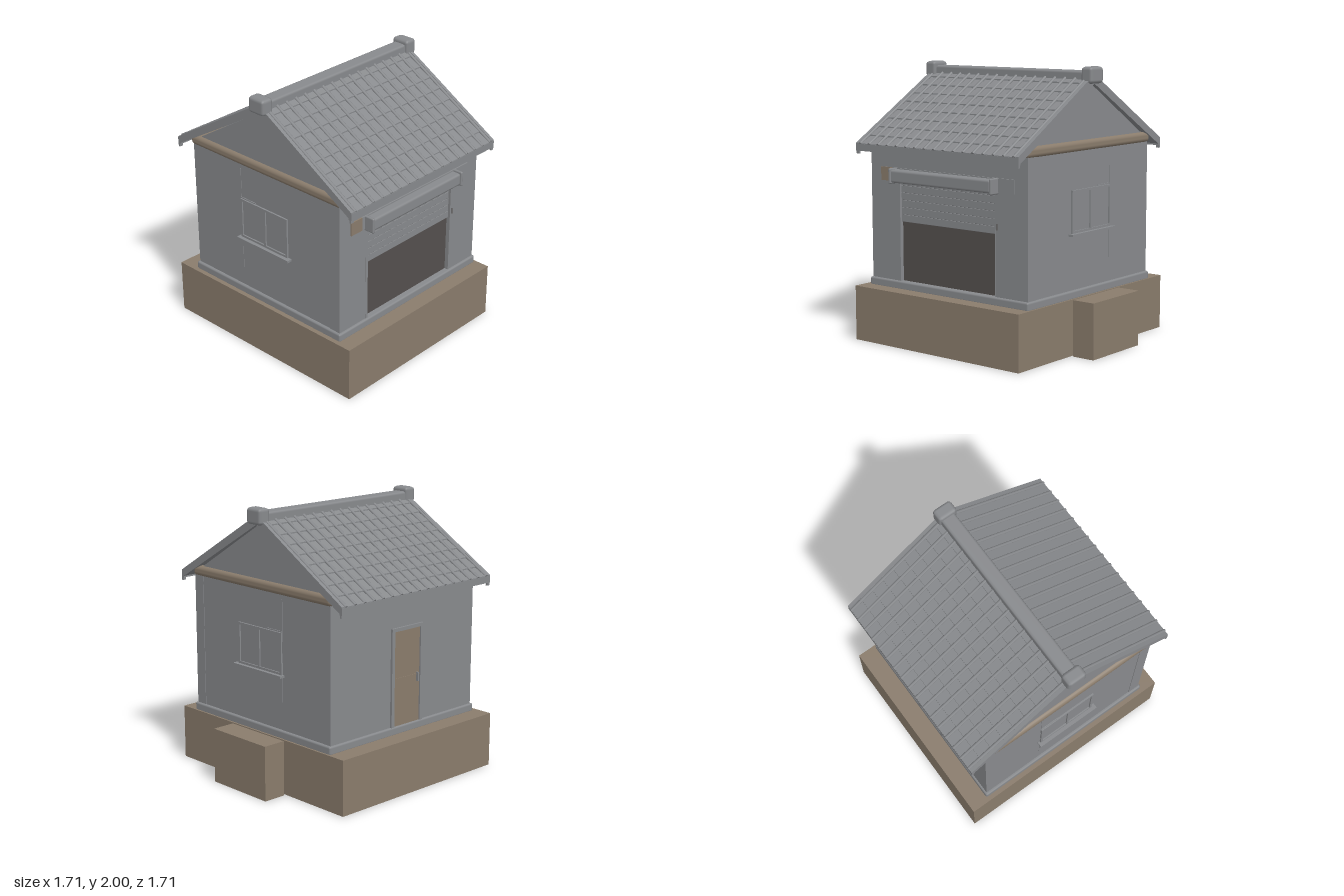
import * as THREE from 'three';
import { RoundedBoxGeometry } from 'three/addons/geometries/RoundedBoxGeometry.js';

const mat = (name, color) => {
  const m = new THREE.MeshStandardMaterial({ color });
  m.name = name;
  return m;
};

export function createModel() {
  const model = new THREE.Group();
  model.name = 'storehouse';
  const grey = mat('greyPlaster', 0x888a8d);
  const brown = mat('brownEarth', 0x8a7c6c);
  const dark = mat('darkOpening', 0x55504e);

  const add = (name, geo, material, parent = model) => {
    const mesh = new THREE.Mesh(geo, material);
    mesh.name = name;
    parent.add(mesh);
    return mesh;
  };
  const group = (name) => {
    const g = new THREE.Group();
    g.name = name;
    model.add(g);
    return g;
  };
  // Boxes are given by their limits on each axis
  const box = (name, x0, x1, y0, y1, z0, z1, material = grey, parent = model) =>
    add(name, new THREE.BoxGeometry(x1 - x0, y1 - y0, z1 - z0)
      .translate((x0 + x1) / 2, (y0 + y1) / 2, (z0 + z1) / 2), material, parent);
  const softBox = (name, x0, x1, y0, y1, z0, z1, r, material = grey, parent = model, seg = 1) =>
    add(name, new RoundedBoxGeometry(x1 - x0, y1 - y0, z1 - z0, seg, r)
      .translate((x0 + x1) / 2, (y0 + y1) / 2, (z0 + z1) / 2), material, parent);
  // Extrude a (z, y) outline along x
  const extrudeX = (name, points, x0, x1, material, parent = model) => {
    const shape = new THREE.Shape(points.map(([z, y]) => new THREE.Vector2(z, y)));
    const geo = new THREE.ExtrudeGeometry(shape, { depth: x1 - x0, bevelEnabled: false });
    return add(name, geo.rotateY(-Math.PI / 2).translate(x1, 0, 0), material, parent);
  };

  // Ground block, side step and plinth
  box('groundBlock', -0.853, 0.665, 0, 0.4, -0.855, 0.855, brown);
  box('sideStep', 0.68, 0.855, 0, 0.4, -0.28, 0.27, brown);
  softBox('plinth', -0.82, 0.652, 0.39, 0.455, -0.715, 0.737, 0.014);

  // Walls: solid rear body and a front wall with the shutter opening
  const L = -0.8, R = 0.633;
  box('wallBody', L, R, 0.42, 1.46, -0.7, 0.63);
  const front = new THREE.Shape([[L - 0.004, 0.42], [R + 0.004, 0.42], [R + 0.004, 1.46], [L - 0.004, 1.46]]
    .map((p) => new THREE.Vector2(...p)));
  front.holes.push(new THREE.Path([[-0.545, 0.455], [-0.545, 1.2], [0.355, 1.2], [0.355, 0.455]]
    .map((p) => new THREE.Vector2(...p))));
  add('frontWall', new THREE.ExtrudeGeometry(front, { depth: 0.09, bevelEnabled: false })
    .translate(0, 0, 0.63), grey);

  // Front shutter, its guide rail, housing and lintel
  const shutter = group('shutter');
  box('opening', -0.545, 0.355, 0.455, 0.9, 0.685, 0.692, dark, shutter);
  const slats = 6, slatH = (1.2 - 0.885) / slats;
  for (let i = 0; i < slats; i++) {
    const y = 0.885 + i * slatH;
    softBox('slat', -0.545, 0.355, y, y + slatH, 0.682, 0.704, 0.003, grey, shutter);
  }
  box('leftGuide', -0.545, -0.525, 0.455, 1.2, 0.68, 0.722, grey, shutter);
  box('rightGuide', 0.353, 0.36, 0.455, 1.2, 0.68, 0.722, grey, shutter);
  softBox('housing', -0.56, 0.372, 1.172, 1.265, 0.715, 0.795, 0.018, grey, shutter);
  for (const x of [-0.565, 0.365])
    softBox('housingCap', x, x + 0.023, 1.163, 1.275, 0.712, 0.803, 0.01, grey, shutter);
  box('lintel', -0.59, 0.525, 1.175, 1.272, 0.7, 0.73, grey, shutter);
  box('lintelEnd', -0.7, -0.59, 1.175, 1.272, 0.7, 0.73, brown, shutter);
  box('shutterSwitch', 0.371, 0.377, 0.915, 0.96, 0.715, 0.725, dark, shutter);

  // Matching windows on both side walls
  for (const s of [-1, 1]) {
    const win = group(s > 0 ? 'leftWindow' : 'rightWindow');
    const wall = s > 0 ? R : L;
    const part = (name, out, y0, y1, z0, z1) => {
      const [a, b] = [wall - s * 0.01, wall + s * out];
      box(name, Math.min(a, b), Math.max(a, b), y0, y1, z0, z1, grey, win);
    };
    part('pane', 0.003, 0.855, 1.155, -0.22, 0.23);
    part('topRail', 0.013, 1.14, 1.157, -0.222, 0.235);
    part('bottomRail', 0.013, 0.855, 0.872, -0.222, 0.235);
    for (const z of [-0.222, 0.008, 0.218]) part('stile', 0.013, 0.872, 1.14, z, z + 0.017);
    part('sill', 0.04, 0.84, 0.856, -0.24, 0.265);
    part('headTrim', 0.006, 1.16, 1.168, -0.22, -0.075);
    part('wallJoint', 0.003, 0.59, 1.39, -0.223, -0.217);
  }

  // Back door with frame, mid rail and handle
  const door = group('backDoor');
  box('leaf', -0.235, 0.03, 0.455, 1.145, -0.705, -0.69, brown, door);
  box('frameLeft', 0.028, 0.055, 0.455, 1.17, -0.716, -0.69, grey, door);
  box('frameRight', -0.26, -0.233, 0.455, 1.17, -0.716, -0.69, grey, door);
  box('frameTop', -0.26, 0.055, 1.145, 1.17, -0.716, -0.69, grey, door);
  box('midRail', -0.233, 0.028, 0.795, 0.805, -0.709, -0.7, brown, door);
  box('handle', -0.212, -0.2, 0.75, 0.815, -0.725, -0.7, grey, door);

  // Rounded cornice below the gables
  softBox('cornice', -0.818, 0.65, 1.42, 1.497, -0.715, 0.735, 0.03, brown, model, 3);

  // Roof measures: slope line falls from the ridge to both eaves
  const C = 0.008, E = 0.84, rows = 9, slope = 0.6, top = 1.937;
  const roofY = (d) => top - slope * d;
  const roof = group('roof');
  extrudeX('gableWalls', [[-0.7, 1.45], [0.715, 1.45], [C, 1.885]], L + 0.008, R - 0.008, grey, roof);

  // Stepped courses of tiles as one outline
  const half = [];
  for (let i = 0; i < rows; i++) {
    const d0 = E - (i * E) / rows, d1 = E - ((i + 1) * E) / rows;
    half.push([d0, roofY(d0) + 0.009], [d1, roofY(d1)]);
  }
  const outline = [
    [C + E, roofY(E) - 0.045],
    ...half.map(([d, y]) => [C + d, y]),
    ...half.slice(0, -1).reverse().map(([d, y]) => [C - d, y]),
    [C - E, roofY(E) - 0.045],
    [C, top - 0.05],
  ];
  extrudeX('tileCourses', outline, -0.81, 0.64, grey, roof);

  // Barge boards at the gable ends, with a drop at the eaves
  const barge = [
    [C + E, 1.368], [C + E, roofY(E) + 0.012], [C, top + 0.012], [C - E, roofY(E) + 0.012],
    [C - E, 1.368], [C - E + 0.015, 1.368], [C - E + 0.015, 1.395], [C, top - 0.055],
    [C + E - 0.015, 1.395], [C + E - 0.015, 1.368],
  ];
  for (const x of [-0.83, 0.635]) extrudeX('bargeBoard', barge, x, x + 0.025, grey, roof);

  for (const s of [-1, 1]) {
    // Eave boards
    const z0 = C + s * (E - 0.01);
    box('eaveBoard', -0.83, 0.66, 1.388, 1.438, z0 - 0.012, z0 + 0.012, grey, roof);
    // Round cover tiles running down the slope
    const rib = new THREE.CylinderGeometry(0.012, 0.012, E * Math.hypot(1, slope), 8);
    rib.rotateX(Math.atan2(-s, slope)).translate(0, roofY(E / 2) + 0.006, C + (s * E) / 2);
    for (let i = 0; i < 17; i++) add('coverTile', rib, grey, roof).position.x = -0.79 + i * 0.0881;
  }

  // Ridge and its chamfered end blocks
  softBox('ridge', -0.81, 0.64, 1.88, 1.97, C - 0.058, C + 0.052, 0.018, grey, roof);
  for (const x of [-0.857, 0.593])
    softBox('ridgeEnd', x, x + 0.097, 1.883, 2, C - 0.073, C + 0.075, 0.024, grey, roof);

  return model;
}
